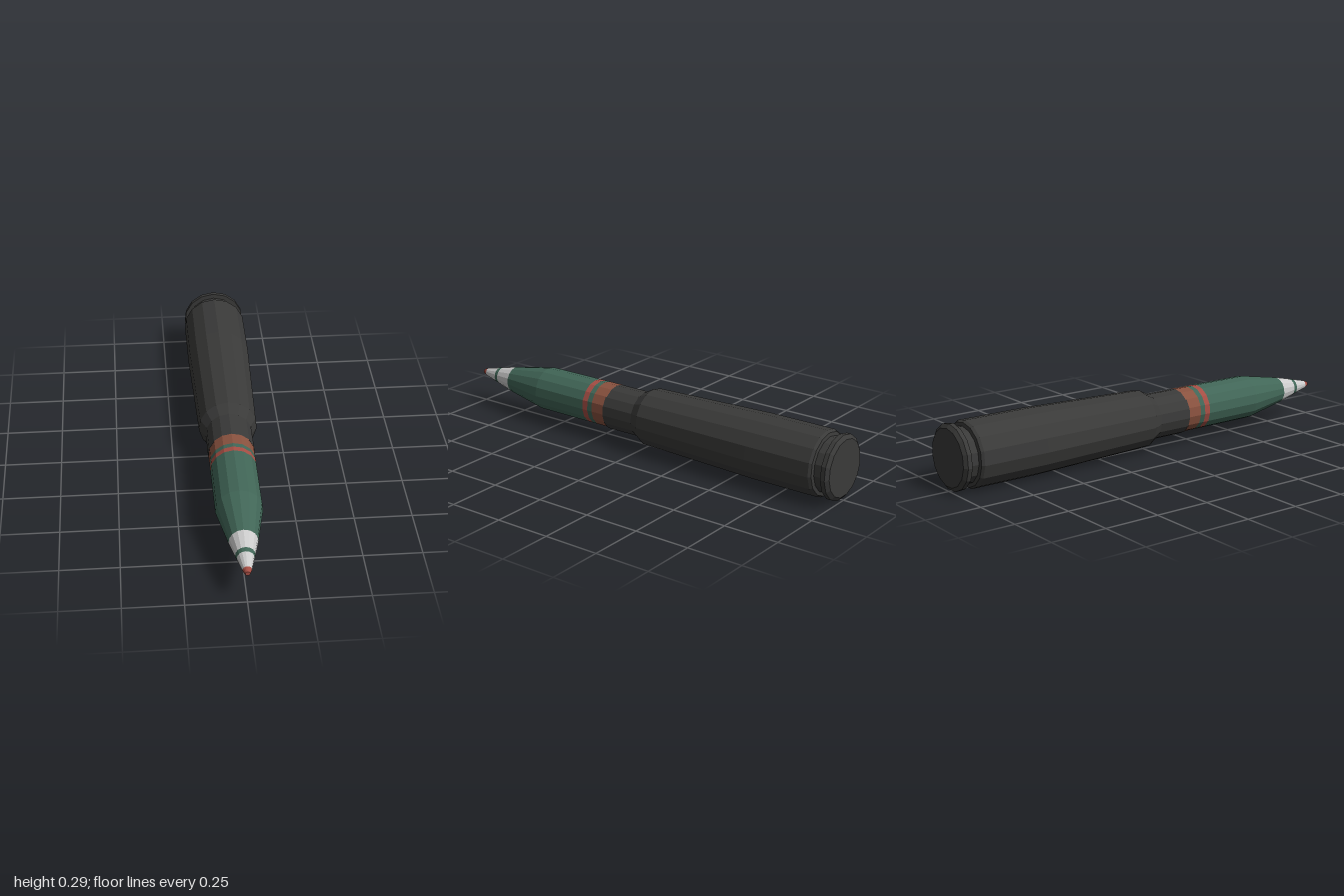
import * as THREE from 'three';

const SIDES = 15;
const COLORS = { dark: 0x3a3a39, green: 0x416657, orange: 0x8a523f, red: 0xa54e44, white: 0xc4c4c0 };

// Faceted body turned round the z axis; profile is [radius, z] from back to front
function turned(name, color, profile, y) {
  const points = profile.map(([r, z]) => new THREE.Vector2(r, z));
  const geometry = new THREE.LatheGeometry(points, SIDES, Math.PI);
  geometry.rotateX(Math.PI / 2);
  const mesh = new THREE.Mesh(geometry, new THREE.MeshStandardMaterial({ color: COLORS[color], flatShading: true }));
  mesh.name = name;
  mesh.position.y = y;
  return mesh;
}

export function createModel() {
  const group = new THREE.Group();
  group.name = 'cartridge';

  // Case: base rim, extractor groove, tapered body, shoulder and neck
  group.add(turned('case', 'dark', [
    [0, -1], [0.126, -1], [0.143, -0.987], [0.143, -0.967],
    [0.122, -0.965], [0.122, -0.925], [0.138, -0.922], [0.146, -0.91],
    [0.146, -0.6], [0.13, -0.02], [0.103, 0.03], [0.103, 0.19], [0.099, 0.19],
  ], 0.146));

  // Projectile: painted bands along one continuous ogive
  const bands = [
    ['rearBand', 'orange', [[0.101, 0.185], [0.101, 0.255]]],
    ['bandGap', 'green', [[0.101, 0.255], [0.101, 0.28]]],
    ['frontBand', 'red', [[0.101, 0.28], [0.101, 0.308]]],
    ['projectileBody', 'green', [[0.101, 0.308], [0.1, 0.59], [0.061, 0.8]]],
    ['noseRear', 'white', [[0.061, 0.8], [0.041, 0.885]]],
    ['noseStripe', 'green', [[0.041, 0.885], [0.036, 0.905]]],
    ['noseFront', 'white', [[0.036, 0.905], [0.019, 0.977]]],
    ['tip', 'red', [[0.019, 0.977], [0.01, 1], [0, 1]]],
  ];
  for (const [name, color, profile] of bands) group.add(turned(name, color, profile, 0.149));

  return group;
}
